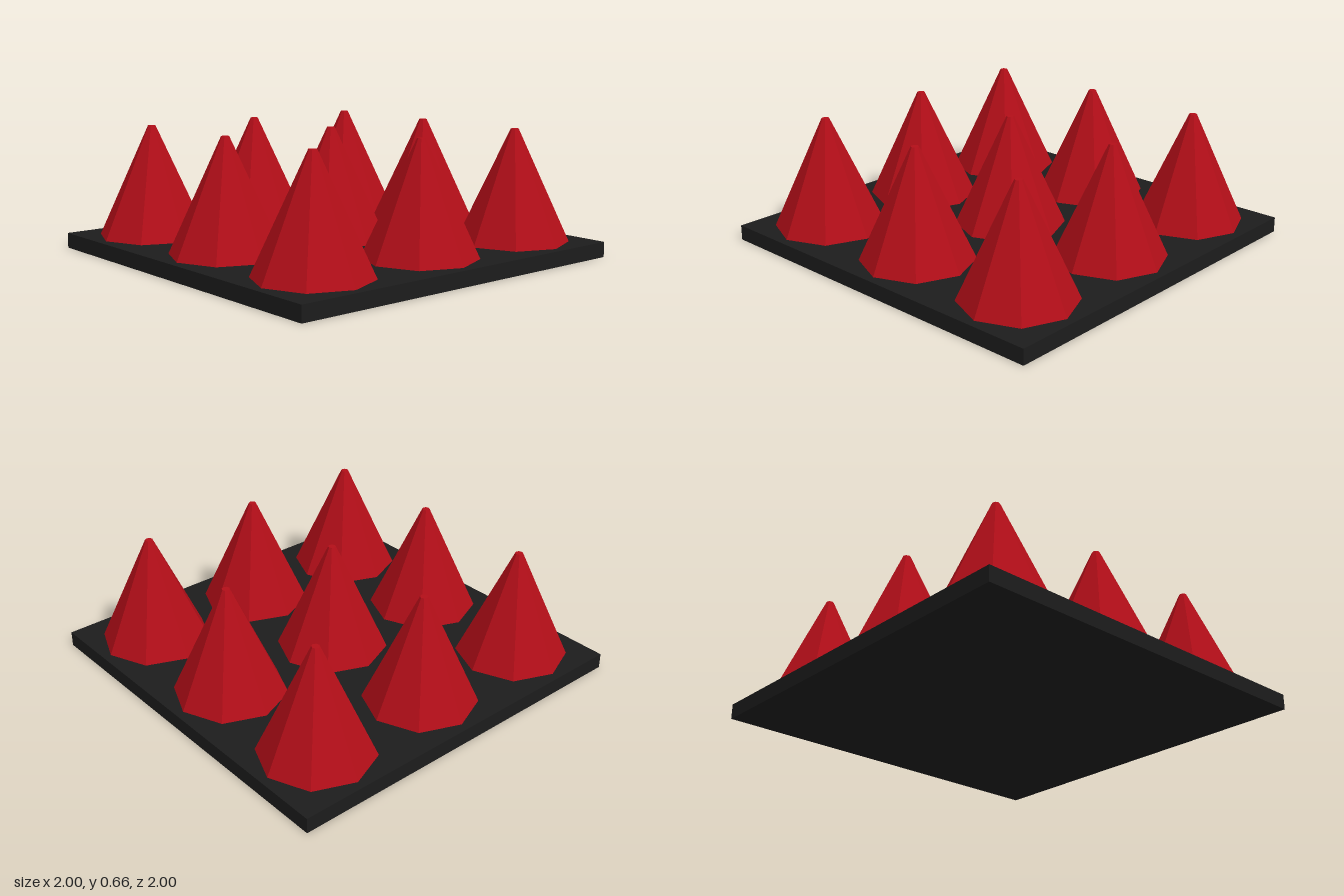
import * as THREE from 'three';

export function createModel() {
  const model = new THREE.Group();
  const plateHeight = 0.08;
  const spikeHeight = 0.583;
  const spacing = 0.667;

  const black = new THREE.MeshStandardMaterial({ color: 0x1c1c1c, flatShading: true });
  const red = new THREE.MeshStandardMaterial({ color: 0xb20e18, flatShading: true });

  // Square base plate
  const plate = new THREE.Mesh(new THREE.BoxGeometry(2, plateHeight, 2), black);
  plate.name = 'basePlate';
  plate.position.y = plateHeight / 2;
  model.add(plate);

  // Three by three grid of eight-sided blunt spikes
  const spikes = new THREE.Group();
  spikes.name = 'spikes';
  const spikeGeometry = new THREE.CylinderGeometry(0.02, 0.29, spikeHeight, 8);
  for (let row = -1; row <= 1; row++) {
    for (let column = -1; column <= 1; column++) {
      const spike = new THREE.Mesh(spikeGeometry, red);
      spike.name = 'spike';
      spike.position.set(column * spacing, plateHeight + spikeHeight / 2, row * spacing);
      spikes.add(spike);
    }
  }
  model.add(spikes);

  return model;
}
